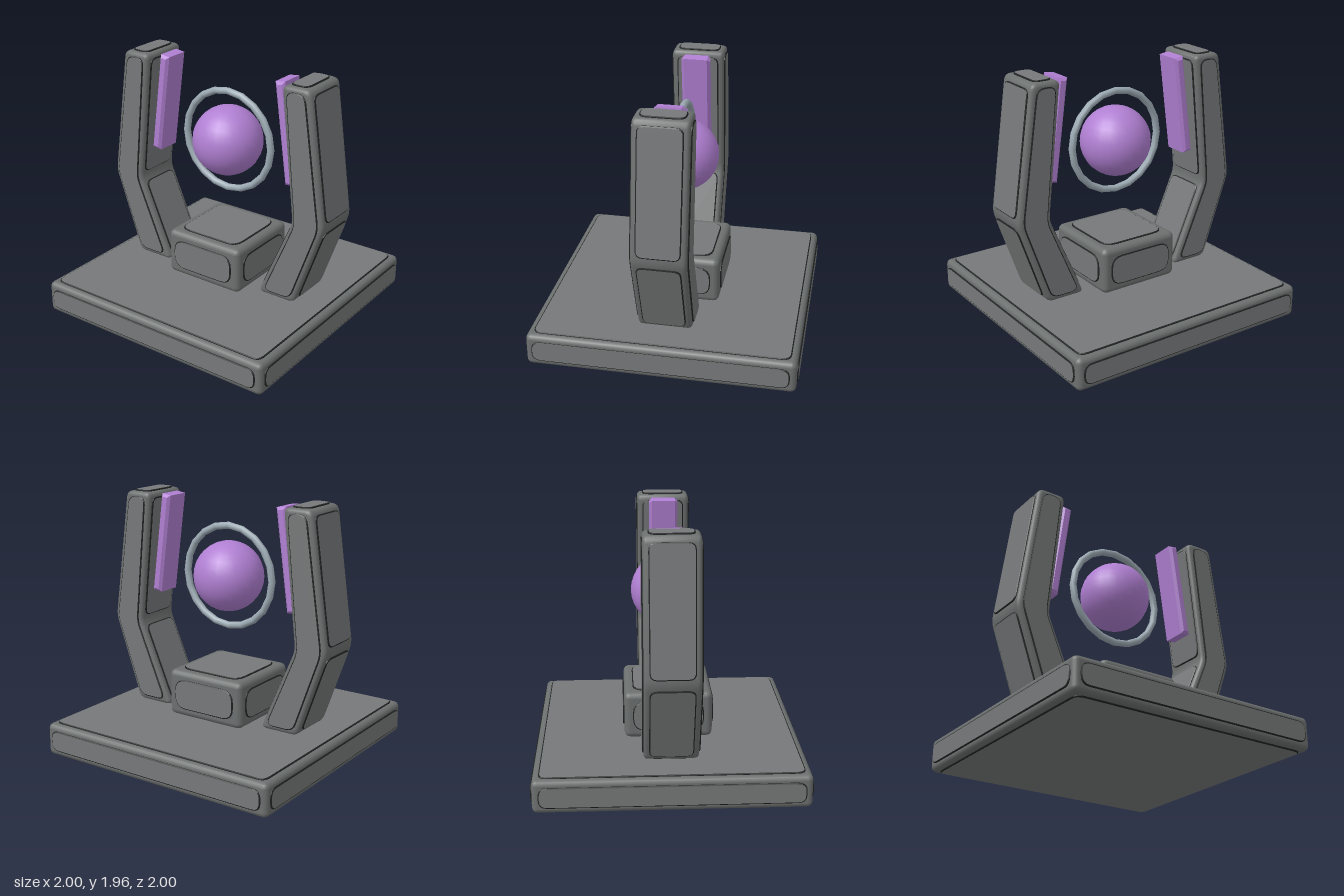
import * as THREE from 'three';
import { toCreasedNormals } from 'three/addons/utils/BufferGeometryUtils.js';
import { RoundedBoxGeometry } from 'three/addons/geometries/RoundedBoxGeometry.js';

const material = (name, color) => Object.assign(new THREE.MeshStandardMaterial({ color }), { name });
const V = (x, y, z) => new THREE.Vector3(x, y, z);

// Closed polygon with softened corners
function roundedPoly(points, r) {
  const p = points.map(([x, y]) => new THREE.Vector2(x, y));
  const shape = new THREE.Shape();
  p.forEach((c, i) => {
    const toward = (q) => c.clone().add(q.clone().sub(c).setLength(r));
    const a = toward(p[(i + p.length - 1) % p.length]);
    const b = toward(p[(i + 1) % p.length]);
    if (i === 0) shape.moveTo(a.x, a.y);
    else shape.lineTo(a.x, a.y);
    shape.quadraticCurveTo(c.x, c.y, b.x, b.y);
  });
  shape.closePath();
  return shape;
}

const rect = (w, h) => [[-w, -h], [w, -h], [w, h], [-w, h]];

export function createModel() {
  const stone = material('stone grey', 0x6c706f);
  const plate = material('plate grey', 0x767879);
  const groove = material('dark groove', 0x202323);
  const violet = material('violet', 0xb07fd2);
  const steel = material('pale steel', 0x9caab3);

  const model = new THREE.Group();
  model.name = 'pedestal';

  const add = (parent, name, geometry, mat) => {
    const mesh = new THREE.Mesh(geometry, mat);
    mesh.name = name;
    parent.add(mesh);
    return mesh;
  };

  // Raised panel with a dark rim, lying on the face with normal n
  const addPanel = (parent, points, r, origin, u, n) => {
    const geometry = new THREE.ExtrudeGeometry(roundedPoly(points, r), {
      depth: 0.014, bevelEnabled: true, bevelThickness: 0.005, bevelSize: 0.008,
      bevelOffset: -0.004, bevelSegments: 1, curveSegments: 4,
    });
    geometry.translate(0, 0, -0.009);
    const mesh = add(parent, 'panel', geometry, [plate, groove]);
    const v = new THREE.Vector3().crossVectors(n, u);
    mesh.quaternion.setFromRotationMatrix(new THREE.Matrix4().makeBasis(u, v, n));
    mesh.position.copy(origin);
  };

  // Rounded box carrying a panel on all six faces
  const addBlock = (name, w, h, d, y, inset, r, edge) => {
    const block = new THREE.Group();
    block.name = name;
    block.position.y = y;
    add(block, name + 'Body', new RoundedBoxGeometry(w, h, d, 2, edge), stone);
    for (const s of [-1, 1]) {
      addPanel(block, rect(w / 2 - inset, h / 2 - inset), r, V(0, 0, s * d / 2), V(s, 0, 0), V(0, 0, s));
      addPanel(block, rect(d / 2 - inset, h / 2 - inset), r, V(s * w / 2, 0, 0), V(0, 0, -s), V(s, 0, 0));
      addPanel(block, rect(w / 2 - inset, d / 2 - inset), r, V(0, s * h / 2, 0), V(1, 0, 0), V(0, s, 0));
    }
    model.add(block);
  };

  addBlock('base', 1.98, 0.25, 1.98, 0.135, 0.05, 0.06, 0.04);
  addBlock('centreBlock', 0.66, 0.36, 0.66, 0.46, 0.068, 0.09, 0.045);

  // Bent arms, outline counter-clockwise for the +x side
  const outline = [[0.42, 0.285], [0.735, 0.285], [0.965, 0.94], [0.822, 1.95], [0.592, 1.95], [0.7, 0.93]];
  const facePanel = [[0.48, 0.325], [0.707, 0.325], [0.925, 0.94], [0.785, 1.912], [0.637, 1.912], [0.735, 0.925]];
  const halfDepth = 0.2, bevel = 0.03;

  for (const side of [1, -1]) {
    const arm = new THREE.Group();
    arm.name = side > 0 ? 'leftArm' : 'rightArm';
    const flip = (pts) => (side > 0 ? pts : pts.map(([x, y]) => [-x, y]).reverse());
    const poly = flip(outline);
    const body = new THREE.ExtrudeGeometry(roundedPoly(poly, 0.05), {
      depth: 2 * (halfDepth - bevel), bevelEnabled: true, bevelThickness: bevel,
      bevelSize: bevel, bevelOffset: -bevel, bevelSegments: 3, curveSegments: 4,
    });
    body.translate(0, 0, bevel - halfDepth);
    add(arm, 'armBody', toCreasedNormals(body, 0.6), stone);

    // Bent panels on front and back
    const face = flip(facePanel);
    addPanel(arm, face, 0.06, V(0, 0, halfDepth), V(1, 0, 0), V(0, 0, 1));
    addPanel(arm, face.map(([x, y]) => [-x, y]).reverse(), 0.06,
      V(0, 0, -halfDepth), V(-1, 0, 0), V(0, 0, -1));

    // One panel along each edge of the outline
    poly.forEach(([ax, ay], i) => {
      const [bx, by] = poly[(i + 1) % poly.length];
      const u = V(bx - ax, by - ay, 0);
      const half = u.length() / 2 - 0.045;
      u.normalize();
      addPanel(arm, rect(half, 0.157), Math.min(0.05, half * 0.9),
        V((ax + bx) / 2, (ay + by) / 2, 0), u, V(u.y, -u.x, 0));
    });
    model.add(arm);

    // Floating glowing slab inside the arm
    const slab = new THREE.ExtrudeGeometry(new THREE.Shape(
      rect(0.02, 0.365).map(([x, y]) => new THREE.Vector2(x, y))), {
      depth: 0.18, bevelEnabled: true, bevelThickness: 0.02, bevelSize: 0.02, bevelSegments: 1,
    });
    slab.translate(0, 0, -0.09);
    const mesh = add(model, side > 0 ? 'leftSlab' : 'rightSlab', slab, violet);
    mesh.position.set(side * 0.565, 1.55, 0);
    mesh.rotation.z = side * 0.133;
  }

  // Floating orb and the ring around it
  add(model, 'orb', new THREE.SphereGeometry(0.268, 24, 16), violet).position.y = 1.35;
  add(model, 'ring', new THREE.TorusGeometry(0.385, 0.027, 8, 20), steel).position.y = 1.35;

  return model;
}
